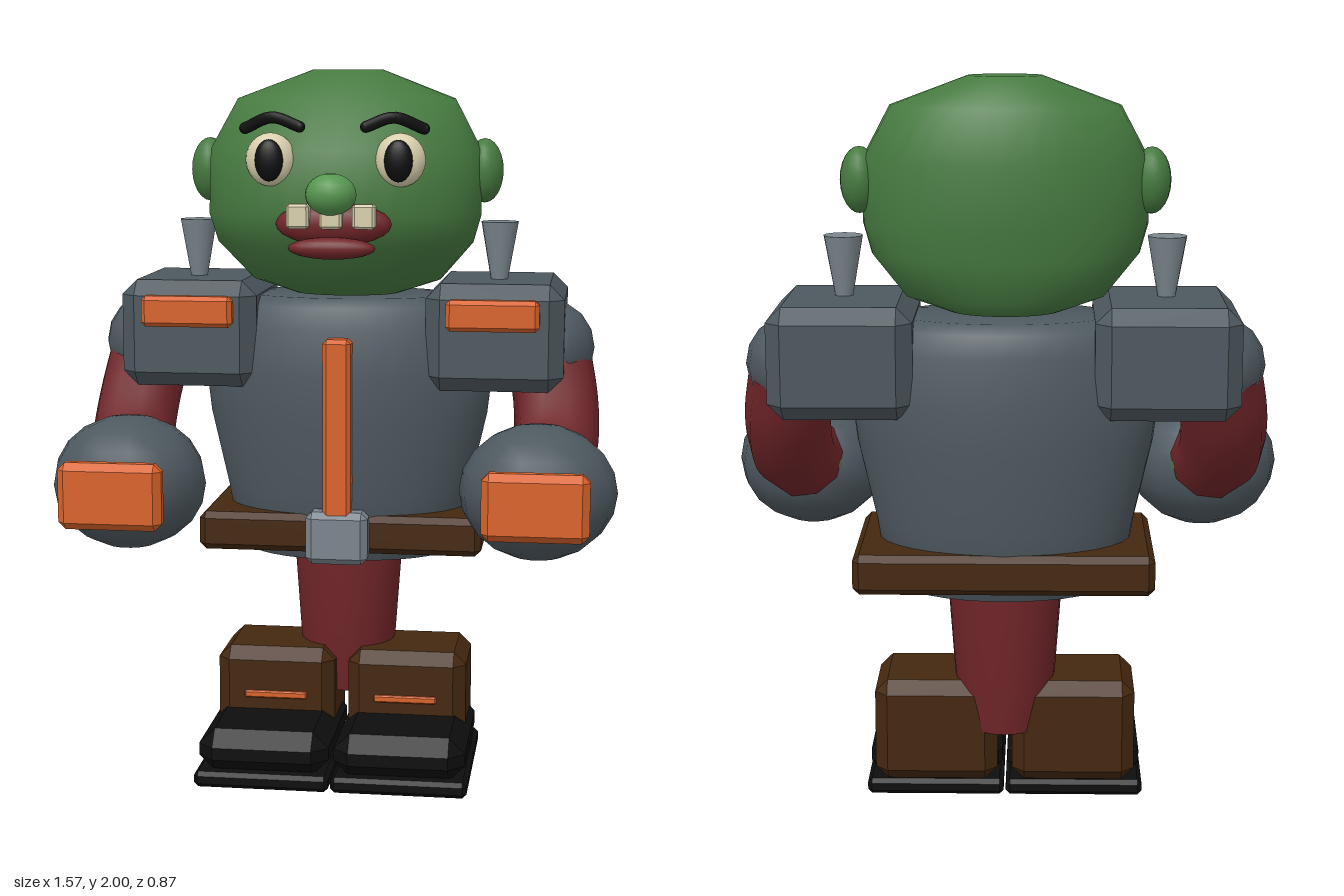
import * as THREE from 'three';
import { toCreasedNormals } from 'three/addons/utils/BufferGeometryUtils.js';
import { ConvexGeometry } from 'three/addons/geometries/ConvexGeometry.js';

const mat = (name, color) => {
  const m = new THREE.MeshStandardMaterial({ color });
  m.name = name;
  return m;
};

// Box from min/max corners with flat chamfers of size c
function chamferBox(x0, x1, y0, y1, z0, z1, c) {
  const x = (x1 - x0) / 2, y = (y1 - y0) / 2, z = (z1 - z0) / 2, pts = [];
  for (const i of [-1, 1]) for (const j of [-1, 1]) for (const k of [-1, 1]) {
    pts.push(new THREE.Vector3(i * x, j * (y - c), k * (z - c)));
    pts.push(new THREE.Vector3(i * (x - c), j * y, k * (z - c)));
    pts.push(new THREE.Vector3(i * (x - c), j * (y - c), k * z));
  }
  return new ConvexGeometry(pts).translate((x0 + x1) / 2, (y0 + y1) / 2, (z0 + z1) / 2);
}

// Closed body through elliptical rings [y, halfWidth, zBack, zFront], listed bottom to top
function loft(rings, n = 32) {
  const pos = [], idx = [];
  for (const [y, rx, zb, zf] of rings) {
    for (let j = 0; j < n; j++) {
      const t = (j / n) * Math.PI * 2;
      pos.push(rx * Math.cos(t), y, (zb + zf) / 2 + ((zf - zb) / 2) * Math.sin(t));
    }
  }
  const last = (rings.length - 1) * n, low = rings.length * n, high = low + 1;
  for (const [y, , zb, zf] of [rings[0], rings[rings.length - 1]]) pos.push(0, y, (zb + zf) / 2);
  for (let j = 0; j < n; j++) {
    const k = (j + 1) % n;
    for (let i = 0; i < last; i += n) {
      const a = i + j, b = i + k, c = a + n, d = b + n;
      idx.push(a, c, b, b, c, d);
    }
    idx.push(low, j, k, high, last + k, last + j);
  }
  const g = new THREE.BufferGeometry();
  g.setAttribute('position', new THREE.Float32BufferAttribute(pos, 3));
  g.setIndex(idx);
  return toCreasedNormals(g, 1.0);
}

const ball = (x, y, z, rx, ry, rz, w = 16, h = 12) =>
  new THREE.SphereGeometry(1, w, h).scale(rx, ry, rz).translate(x, y, z);

const tube = (pts, r, n = 8) => new THREE.TubeGeometry(
  new THREE.CatmullRomCurve3(pts.map(p => new THREE.Vector3(...p))), 12, r, n);

export function createModel() {
  const skin = mat('green skin', 0x467a40);
  const noseSkin = mat('light green skin', 0x56964f);
  const armor = mat('slate armor', 0x4d585f);
  const steel = mat('light steel', 0x7a868d);
  const cloth = mat('dark red cloth', 0x712529);
  const orange = mat('orange trim', 0xd9632a);
  const leather = mat('brown leather', 0x452810);
  const black = mat('black', 0x0e0e0f);
  const cream = mat('cream', 0xd8cfac);

  const model = new THREE.Group();
  let parent = model;
  const add = (name, geo, material) => {
    const m = new THREE.Mesh(geo, material);
    m.name = name;
    parent.add(m);
    return m;
  };
  const group = name => {
    parent = new THREE.Group();
    parent.name = name;
    model.add(parent);
  };

  // Head and face
  group('head');
  add('skull', loft([
    [1.37, 0.15, -0.27, -0.05], [1.41, 0.27, -0.31, 0.01], [1.52, 0.365, -0.33, 0.115],
    [1.6, 0.388, -0.34, 0.145], [1.78, 0.385, -0.355, 0.13], [1.92, 0.31, -0.31, 0.05],
    [2.0, 0.1, -0.24, -0.1],
  ]), skin);
  add('nose', ball(0, 1.668, 0.193, 0.07, 0.057, 0.055), noseSkin);
  add('mouth', ball(0, 1.585, 0.14, 0.16, 0.06, 0.045), cloth);
  add('lowerLip', ball(0, 1.522, 0.18, 0.12, 0.03, 0.032), cloth);
  for (const x of [-0.09, 0, 0.09]) {
    add('tooth', chamferBox(x - 0.031, x + 0.031, 1.575, 1.642, 0.16, 0.205, 0.007), cream);
  }
  for (const s of [-1, 1]) {
    add('ear', ball(s * 0.393, 1.72, -0.135, 0.053, 0.09, 0.06), skin);
    add('eye', ball(s * 0.178, 1.757, 0.105, 0.07, 0.073, 0.042), cream);
    add('pupil', ball(s * 0.177, 1.756, 0.14, 0.039, 0.057, 0.02), black);
    const brow = [[s * 0.245, 1.842, 0.125], [s * 0.165, 1.872, 0.15], [s * 0.09, 1.847, 0.155]];
    add('eyebrow', tube(brow, 0.016), black);
    for (const p of [brow[0], brow[2]]) add('eyebrowEnd', ball(...p, 0.016, 0.016, 0.016, 8, 6), black);
  }

  // Torso, belt and trim
  group('torso');
  add('breastplate', loft([
    [0.61, 0.29, -0.38, -0.01], [0.68, 0.335, -0.41, 0.02], [0.8, 0.355, -0.422, 0.04],
    [1.02, 0.405, -0.432, 0.055], [1.15, 0.42, -0.428, 0.055], [1.28, 0.395, -0.41, 0.04],
    [1.34, 0.355, -0.395, 0.02], [1.365, 0.3, -0.36, -0.01],
  ]), armor);
  add('chestStripe', chamferBox(-0.04, 0.04, 0.72, 1.26, 0.03, 0.09, 0.012), orange);
  add('belt', chamferBox(-0.405, 0.405, 0.64, 0.75, -0.432, 0.037, 0.018), leather);
  add('buckle', chamferBox(-0.088, 0.088, 0.62, 0.77, 0.02, 0.1, 0.018), steel);

  // Arms with shoulder pads and round gauntlets
  for (const s of [-1, 1]) {
    group(s > 0 ? 'leftArm' : 'rightArm');
    const box = (x0, x1, ...rest) => chamferBox(Math.min(s * x0, s * x1), Math.max(s * x0, s * x1), ...rest);
    add('shoulderPad', box(0.24, 0.627, 1.11, 1.412, -0.413, 0.035, 0.042), armor);
    add('padTrim', box(0.3, 0.56, 1.285, 1.372, 0.02, 0.064, 0.012), orange);
    add('padSpike', new THREE.CylinderGeometry(0.053, 0.018, 0.2, 16).translate(s * 0.436, 1.475, -0.17), steel);
    add('shoulderBall', ball(s * 0.58, 1.22, -0.16, 0.13, 0.135, 0.13, 12, 8), armor);
    add('sleeve', tube([
      [s * 0.58, 1.2, -0.17], [s * 0.605, 1.06, -0.11], [s * 0.605, 0.95, -0.02], [s * 0.58, 0.9, 0.06],
    ], 0.12, 10), cloth);
    add('wrist', ball(s * 0.57, 0.89, 0.06, 0.115, 0.1, 0.09, 12, 8), skin);
    add('gauntlet', ball(s * 0.568, 0.867, 0.185, 0.216, 0.187, 0.2, 14, 10), armor);
    add('knuckleGuard', box(0.427, 0.712, 0.777, 0.96, 0.372, 0.436, 0.02), orange);
  }

  // Tapered trousers
  group('legs');
  add('trousers', loft([
    [0.2, 0.11, -0.31, -0.08], [0.35, 0.14, -0.327, -0.055], [0.66, 0.162, -0.343, -0.045],
  ], 24), cloth);

  // Boots
  for (const s of [-1, 1]) {
    group(s > 0 ? 'leftBoot' : 'rightBoot');
    const box = (x0, x1, ...rest) => chamferBox(Math.min(s * x0, s * x1), Math.max(s * x0, s * x1), ...rest);
    add('bootShaft', box(0.02, 0.362, 0.048, 0.34, -0.29, 0.0, 0.035), leather);
    add('bootTrim', box(0.098, 0.28, 0.195, 0.216, -0.005, 0.01, 0.004), orange);
    add('shoe', box(0.007, 0.378, 0.035, 0.16, -0.25, 0.24, 0.045), black);
    add('sole', box(0.003, 0.386, 0.0, 0.045, -0.265, 0.248, 0.012), black);
  }
  return model;
}
